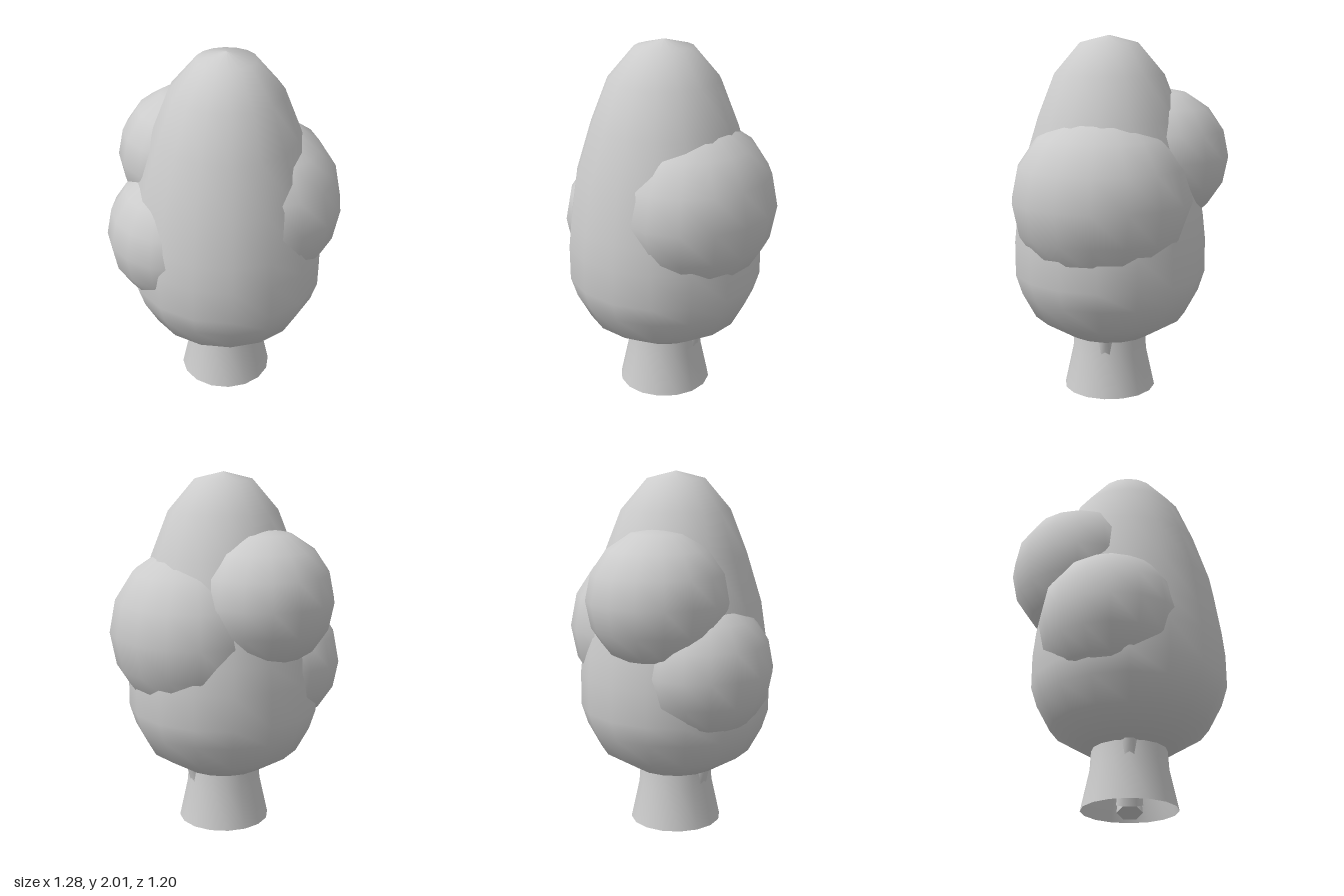
import * as THREE from 'three';

const SIDES = 16;
const AXIS_Z = 0.06; // trunk and crown share this axis

export function createModel() {
  const tree = new THREE.Group();
  tree.name = 'tree';
  const material = new THREE.MeshStandardMaterial({ color: 0xcccccc });
  const openMaterial = new THREE.MeshStandardMaterial({ color: 0xcccccc, side: THREE.DoubleSide });

  const add = (name, geometry, mat, x, y, z) => {
    const mesh = new THREE.Mesh(geometry, mat);
    mesh.name = name;
    mesh.position.set(x, y, z);
    tree.add(mesh);
    return mesh;
  };
  const lathe = (profile) =>
    new THREE.LatheGeometry(profile.map(([r, y]) => new THREE.Vector2(r, y)), SIDES);

  // Flared trunk, open at the bottom
  add('trunk', lathe([[0.26, 0], [0.212, 0.22], [0.2, 0.4]]), openMaterial, 0, 0, AXIS_Z);

  // Two short branches that leave the trunk just below the crown
  for (const side of [-1, 1]) {
    const from = new THREE.Vector3(side * 0.075, 0.01, AXIS_Z);
    const to = new THREE.Vector3(side * 0.225, 0.42, AXIS_Z);
    const dir = to.clone().sub(from);
    const mid = from.clone().add(to).multiplyScalar(0.5);
    const branch = add(side > 0 ? 'leftBranch' : 'rightBranch',
      new THREE.CylinderGeometry(0.035, 0.07, dir.length(), 6), material, mid.x, mid.y, mid.z);
    branch.quaternion.setFromUnitVectors(new THREE.Vector3(0, 1, 0), dir.normalize());
  }

  // Egg-shaped main crown
  add('crown', lathe([
    [0, 0.31], [0.24, 0.325], [0.43, 0.44], [0.505, 0.58], [0.54, 0.69], [0.54, 0.88],
    [0.525, 1.02], [0.487, 1.27], [0.4, 1.55], [0.305, 1.79], [0.16, 1.96], [0, 2],
  ]), material, 0, 0, AXIS_Z);

  // Rounded foliage clumps: name, centre, radii
  const clumps = [
    ['leftClump', [0.19, 1.125, 0.08], [0.45, 0.48, 0.495]],
    ['backClump', [-0.1, 1.33, -0.21], [0.39, 0.385, 0.39]],
    ['rightClump', [-0.275, 0.95, -0.03], [0.37, 0.39, 0.395]],
  ];
  for (const [name, centre, radii] of clumps) {
    const ball = new THREE.SphereGeometry(1, SIDES, SIDES / 2).scale(...radii);
    add(name, ball, material, ...centre);
  }
  return tree;
}
